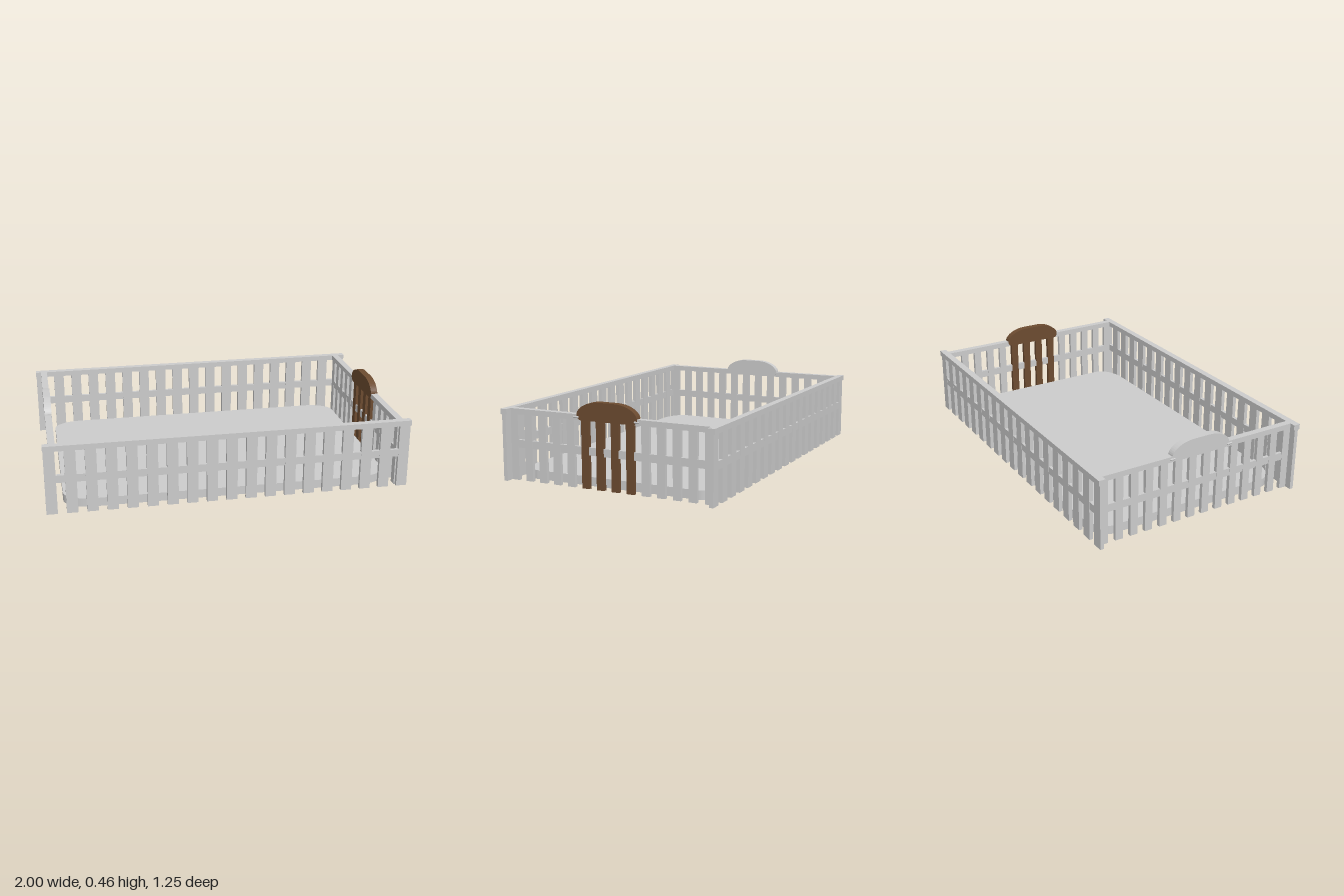
import * as THREE from 'three';

const grey = new THREE.MeshStandardMaterial({ color: 0xcccccc });
const brown = new THREE.MeshStandardMaterial({ color: 0x6c4b30 });

function box(parent, name, size, pos, material = grey) {
  const mesh = new THREE.Mesh(new THREE.BoxGeometry(...size), material);
  mesh.name = name;
  mesh.position.set(...pos);
  parent.add(mesh);
  return mesh;
}

// Long fence: 19 slats with a wide top rail and a thin middle rail
function longFence(name, z) {
  const fence = new THREE.Group();
  fence.name = name;
  fence.position.z = z;
  box(fence, 'topRail', [2, 0.03, 0.038], [0, 0.375, 0]);
  box(fence, 'middleRail', [1.99, 0.042, 0.019], [0, 0.199, 0]);
  for (let i = 0; i < 19; i++) {
    box(fence, 'slat', [0.06, 0.36, 0.021], [-0.968 + (i * 1.936) / 18, 0.18, 0]);
  }
  return fence;
}

// Arched board outline, drawn in z (as shape x) and y
function archGeometry(depth) {
  const s = new THREE.Shape();
  s.moveTo(-0.155, 0.36);
  s.lineTo(0.155, 0.36);
  s.quadraticCurveTo(0.177, 0.366, 0.177, 0.388);
  s.bezierCurveTo(0.175, 0.425, 0.115, 0.459, 0.045, 0.459);
  s.lineTo(-0.045, 0.459);
  s.bezierCurveTo(-0.115, 0.459, -0.175, 0.425, -0.177, 0.388);
  s.quadraticCurveTo(-0.177, 0.366, -0.155, 0.36);
  const geometry = new THREE.ExtrudeGeometry(s, { depth, bevelEnabled: false, curveSegments: 12 });
  return geometry.translate(0, 0, -depth / 2).rotateY(Math.PI / 2);
}

// Short fence: 14 slats, the middle four topped by the arched board
function shortFence(name, x, material) {
  const fence = new THREE.Group();
  fence.name = name;
  fence.position.x = x;
  box(fence, 'middleRail', [0.018, 0.042, 1.17], [0, 0.199, 0]);
  for (let i = 0; i < 14; i++) {
    const central = i >= 5 && i <= 8;
    box(fence, central ? 'centreSlat' : 'slat', [0.021, 0.36, 0.044],
      [0, 0.18, -0.571 + (i * 1.142) / 13], central ? material : grey);
  }
  const arch = new THREE.Mesh(archGeometry(0.039), material);
  arch.name = 'archBoard';
  arch.position.z = -0.002;
  fence.add(arch);
  // Top rail halves on each side of the arch, with joining pins
  for (const side of [-1, 1]) {
    box(fence, 'topRail', [0.037, 0.03, 0.425], [0, 0.375, side * 0.3775]);
    const pin = new THREE.Mesh(new THREE.CylinderGeometry(0.006, 0.006, 0.03, 12), grey);
    pin.name = 'pin';
    pin.rotation.x = Math.PI / 2;
    pin.position.set(Math.sign(x) * 0.017, 0.375, side * 0.178);
    fence.add(pin);
  }
  return fence;
}

// Floor slab with elliptical corners
function floorSlab() {
  const w = 0.903, h = 0.577, rx = 0.16, ry = 0.105;
  const s = new THREE.Shape();
  s.moveTo(w, -h + ry);
  s.absellipse(w - rx, h - ry, rx, ry, 0, Math.PI / 2);
  s.absellipse(-w + rx, h - ry, rx, ry, Math.PI / 2, Math.PI);
  s.absellipse(-w + rx, -h + ry, rx, ry, Math.PI, Math.PI * 1.5);
  s.absellipse(w - rx, -h + ry, rx, ry, Math.PI * 1.5, Math.PI * 2);
  const geometry = new THREE.ExtrudeGeometry(s, { depth: 0.048, bevelEnabled: false, curveSegments: 12 });
  const mesh = new THREE.Mesh(geometry.rotateX(-Math.PI / 2), grey);
  mesh.name = 'floor';
  mesh.position.set(0, 0.004, -0.008);
  return mesh;
}

export function createModel() {
  const model = new THREE.Group();
  model.name = 'fencedPen';
  model.add(
    floorSlab(),
    longFence('frontFence', 0.605),
    longFence('backFence', -0.604),
    shortFence('leftFence', 0.942, brown),
    shortFence('rightFence', -0.951, grey),
  );
  return model;
}
